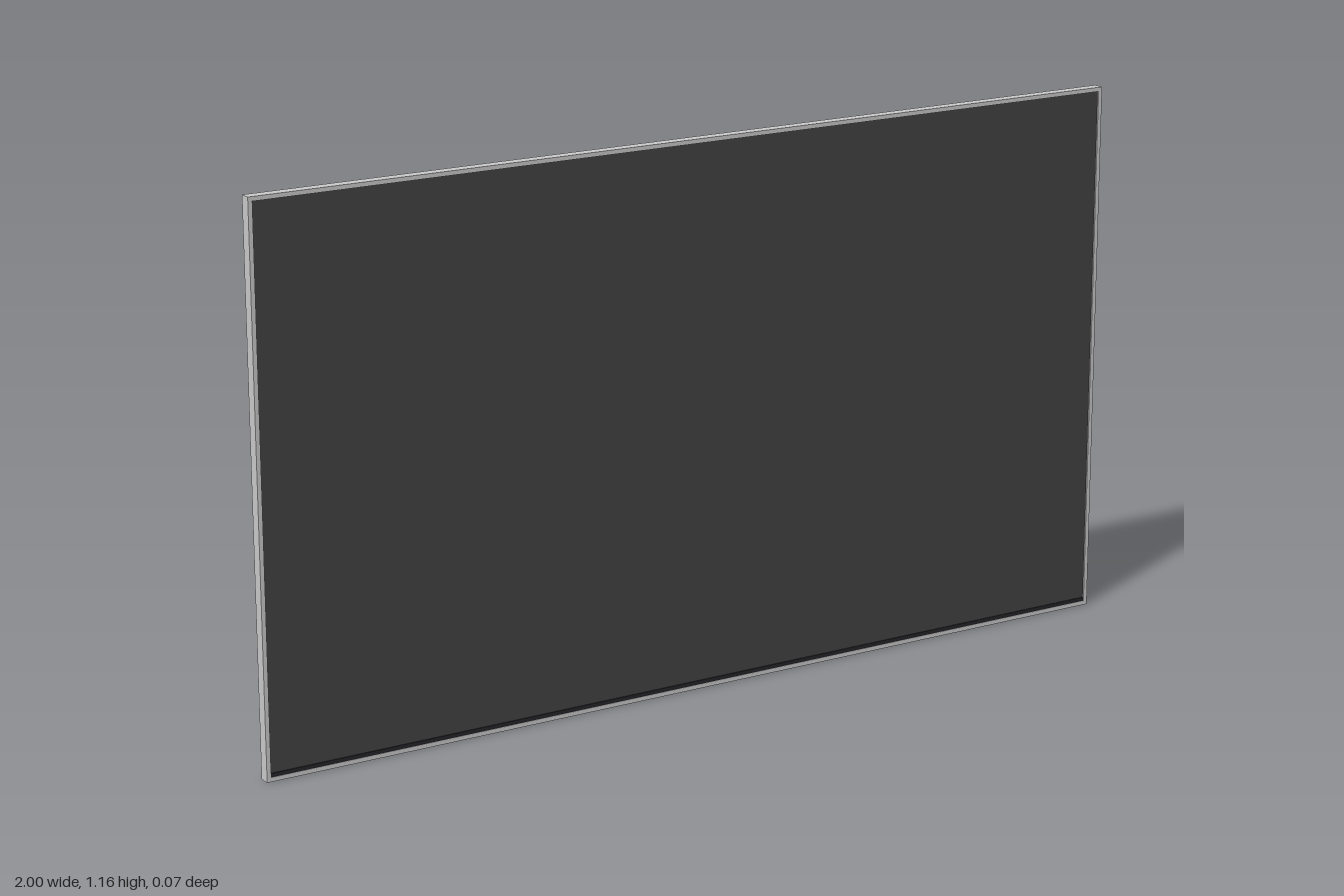
import * as THREE from 'three';

const W = 2, H = 1.156, RIM = 0.009;
const Z_FRONT = 0.035, Z_SEAM = 0.011, Z_BACK = -0.035;
const TAPER = 0.24;

// 0 at the edge, 1 once past the tapered border
const rise = (d) => 1 - Math.pow(1 - Math.min(Math.max(d / TAPER, 0), 1), 1.6);
const backZ = (x, y) => Z_SEAM + (Z_BACK - Z_SEAM) * rise(W / 2 - Math.abs(x)) * rise(H - y);

const paint = (color) => new THREE.MeshStandardMaterial({ color });

function add(group, name, geometry, material) {
  const mesh = new THREE.Mesh(geometry, material);
  mesh.name = name;
  group.add(mesh);
  return mesh;
}

export function createModel() {
  const group = new THREE.Group();
  group.name = 'flatScreen';
  const metal = paint(0xcccccc);

  // Thin metal frame around the panel
  const outline = new THREE.Shape();
  outline.moveTo(-W / 2, 0).lineTo(W / 2, 0).lineTo(W / 2, H).lineTo(-W / 2, H).closePath();
  const opening = new THREE.Path();
  const ix = W / 2 - RIM;
  opening.moveTo(-ix, RIM).lineTo(-ix, H - RIM).lineTo(ix, H - RIM).lineTo(ix, RIM).closePath();
  outline.holes.push(opening);
  const frame = new THREE.ExtrudeGeometry(outline, { depth: Z_FRONT - Z_SEAM, bevelEnabled: false });
  frame.translate(0, 0, Z_SEAM);
  add(group, 'frame', frame, metal);

  // Glass, slightly recessed in the frame
  const screen = add(group, 'screen',
    new THREE.BoxGeometry(2 * ix, H - 2 * RIM, 0.018), paint(0x434343));
  screen.position.set(0, H / 2, Z_FRONT - 0.003 - 0.009);

  // Dark strip along the lower edge of the glass
  const strip = add(group, 'lowerStrip', new THREE.BoxGeometry(2 * ix, 0.008, 0.002), paint(0x25252a));
  strip.position.set(0, RIM + 0.004, Z_FRONT - 0.002);

  // Back shell: swells away from the top and side edges, full depth at the bottom
  const shell = new THREE.PlaneGeometry(W, H, 100, 58);
  shell.rotateY(Math.PI);
  shell.translate(0, H / 2, 0);
  const p = shell.attributes.position;
  for (let i = 0; i < p.count; i++) p.setZ(i, backZ(p.getX(i), p.getY(i)));
  shell.computeVertexNormals();
  add(group, 'backShell', shell, paint(0x353535));

  // Flat underside closing the shell
  const cap = new THREE.Shape();
  cap.moveTo(-W / 2, Z_SEAM);
  for (let i = 0; i <= 100; i++) {
    const x = -W / 2 + (W * i) / 100;
    cap.lineTo(x, backZ(x, 0));
  }
  cap.lineTo(W / 2, Z_SEAM);
  const underside = new THREE.ShapeGeometry(cap);
  underside.rotateX(Math.PI / 2);
  add(group, 'underside', underside, metal);

  return group;
}
